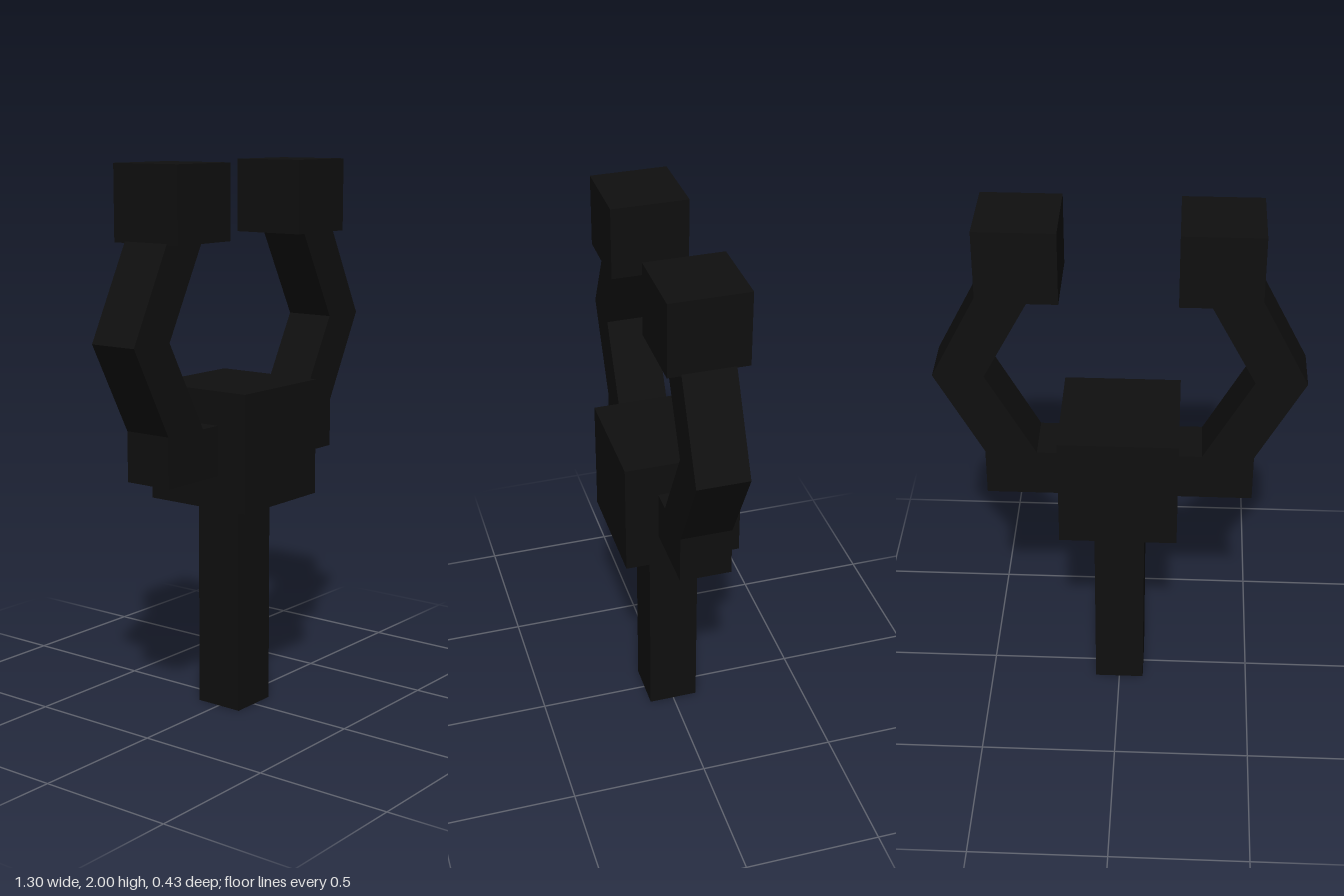
import * as THREE from 'three';

const material = new THREE.MeshStandardMaterial({ color: 0x0f0f0f, flatShading: true });

function addMesh(parent, name, geometry, x = 0, y = 0, z = 0) {
  const mesh = new THREE.Mesh(geometry, material);
  mesh.name = name;
  mesh.position.set(x, y, z);
  parent.add(mesh);
}

// Bent arm outline for the left (+x) side, starting inside the hub
function armGeometry() {
  const outline = [
    [0.18, 0.91], [0.48, 0.91], [0.48, 1.09], [0.65, 1.41], [0.48, 1.74],
    [0.295, 1.74], [0.47, 1.41], [0.295, 1.09], [0.18, 1.09],
  ].map(([x, y]) => new THREE.Vector2(x, y));
  const geometry = new THREE.ExtrudeGeometry(new THREE.Shape(outline), { depth: 0.185, bevelEnabled: false });
  return geometry.translate(0, 0, -0.0925);
}

export function createModel() {
  const model = new THREE.Group();
  model.name = 'forkedStaff';

  // Shaft and central block
  addMesh(model, 'shaft', new THREE.BoxGeometry(0.185, 0.8, 0.185), 0, 0.4);
  addMesh(model, 'hub', new THREE.BoxGeometry(0.425, 0.425, 0.425), 0, 1);

  // Two prongs, the second turned half way round
  for (const [name, turn] of [['leftProng', 0], ['rightProng', Math.PI]]) {
    const prong = new THREE.Group();
    prong.name = name;
    prong.rotation.y = turn;
    addMesh(prong, 'arm', armGeometry());
    addMesh(prong, 'tip', new THREE.BoxGeometry(0.28, 0.265, 0.28), 0.34, 1.8675);
    model.add(prong);
  }
  return model;
}
